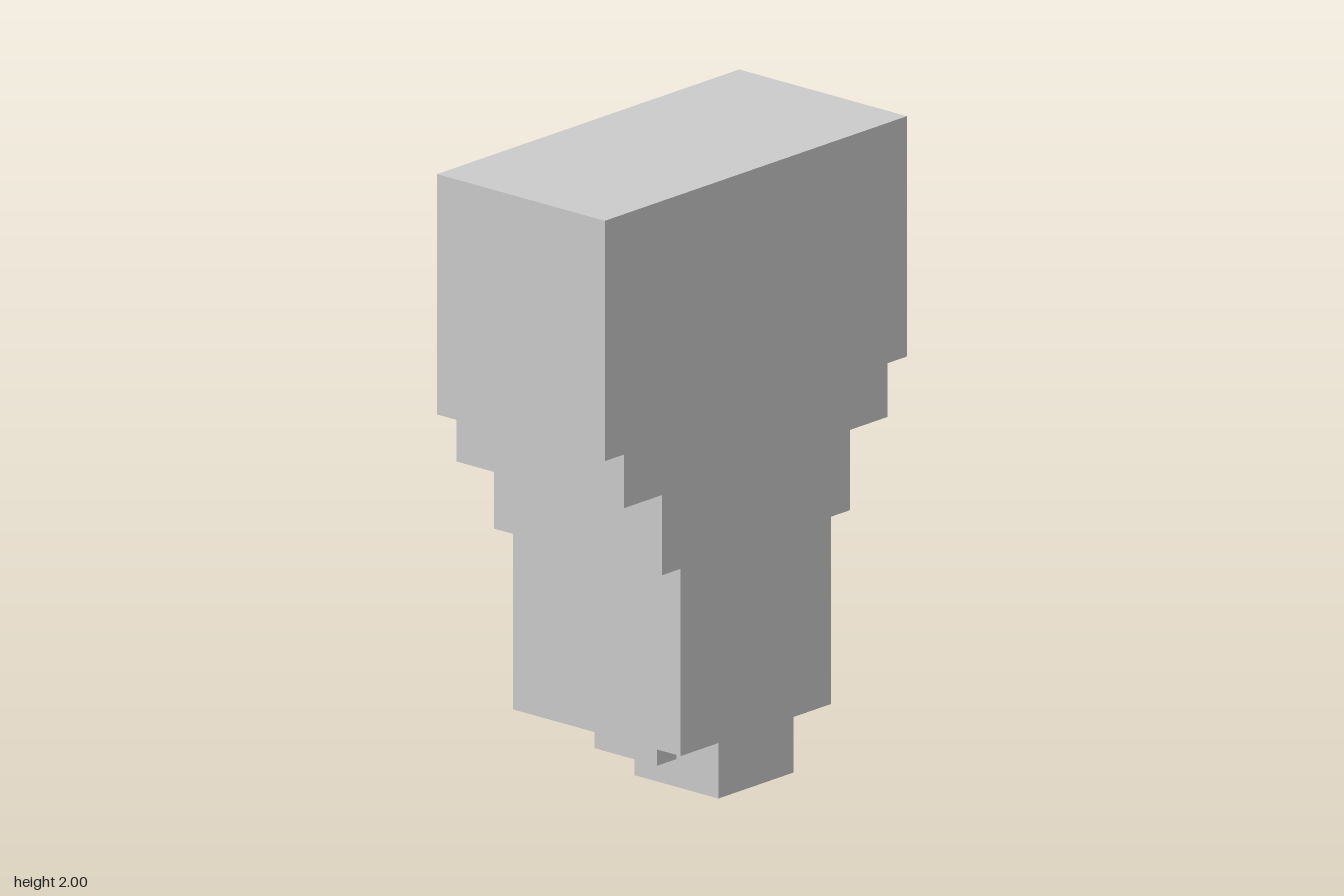
import * as THREE from 'three';

const material = new THREE.MeshStandardMaterial({ color: 0xcccccc, flatShading: true });
const DEPTH = 0.694;

// Half-widths and heights of the stepped body, from bottom to top
const steps = [
  { half: 0.347, bottom: 0.18, top: 0.787 },
  { half: 0.434, bottom: 0.787, top: 1.047 },
  { half: 0.608, bottom: 1.047, top: 1.221 },
  { half: 0.697, bottom: 1.221, top: 2 },
];

// Box given by its half-width and its y and z ranges
function block(name, half, y0, y1, z0, z1) {
  const mesh = new THREE.Mesh(new THREE.BoxGeometry(half * 2, y1 - y0, z1 - z0), material);
  mesh.position.set(0, (y0 + y1) / 2, (z0 + z1) / 2);
  mesh.name = name;
  return mesh;
}

export function createModel() {
  const model = new THREE.Group();
  model.name = 'steppedBlock';

  // Body: one stepped silhouette, mirrored left to right, extruded through the depth
  const right = steps.flatMap(({ half, bottom, top }) => [
    new THREE.Vector2(half, bottom),
    new THREE.Vector2(half, top),
  ]);
  const left = right.map((p) => new THREE.Vector2(-p.x, p.y)).reverse();
  const geometry = new THREE.ExtrudeGeometry(new THREE.Shape([...right, ...left]), {
    depth: DEPTH,
    bevelEnabled: false,
  });
  geometry.translate(0, 0, -DEPTH / 2);
  const body = new THREE.Mesh(geometry, material);
  body.name = 'steppedBody';
  model.add(body);

  // Foot flush with the front, and the wider, shallower collar crossing it
  model.add(block('foot', 0.173, 0, 0.18, 0, DEPTH / 2));
  model.add(block('footCollar', 0.261, 0.09, 0.18, -0.087, 0.173));

  return model;
}
